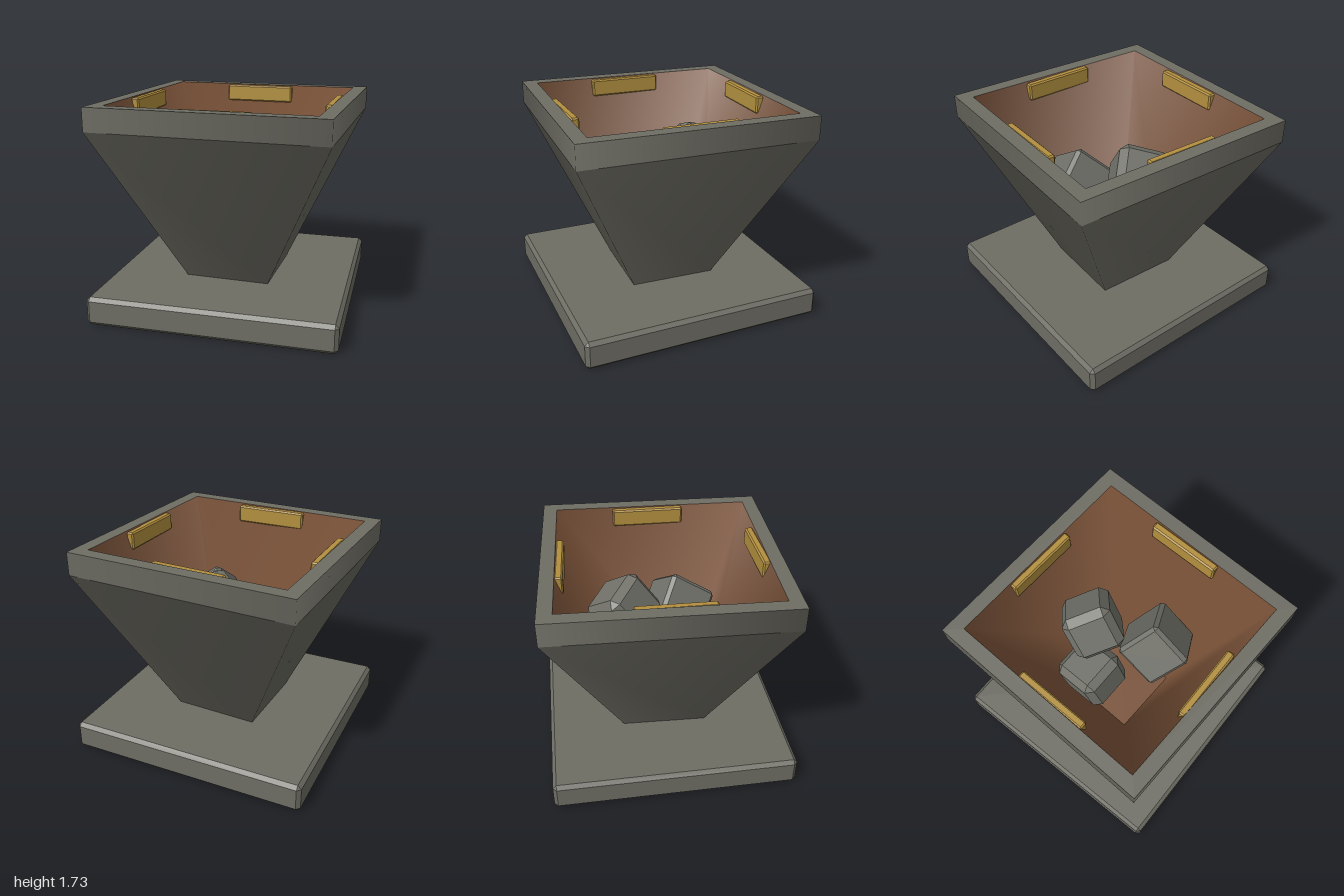
import * as THREE from 'three';
import { ConvexGeometry } from 'three/addons/geometries/ConvexGeometry.js';

const TURN = 0.743; // angle of the first hopper corner, a little off the diagonal

const colour = (name, hex) => {
  const m = new THREE.MeshStandardMaterial({ color: hex });
  m.name = name;
  return m;
};

// Box with flat chamfered edges and corners
function chamferBox(w, h, d, c) {
  const pts = [];
  for (const x of [-1, 1]) for (const y of [-1, 1]) for (const z of [-1, 1]) {
    for (let full = 0; full < 3; full++) {
      pts.push(new THREE.Vector3(
        x * (w / 2 - (full === 0 ? 0 : c)),
        y * (h / 2 - (full === 1 ? 0 : c)),
        z * (d / 2 - (full === 2 ? 0 : c))));
    }
  }
  return new ConvexGeometry(pts);
}

// Four-sided surface swept from one profile point to the next
function fourSided(r1, y1, r2, y2) {
  return new THREE.LatheGeometry(
    [new THREE.Vector2(r1, y1), new THREE.Vector2(r2, y2)], 4, TURN);
}

export function createModel() {
  const model = new THREE.Group();
  const metal = colour('grey metal', 0x6e6d64);
  const stone = colour('grey stone', 0x71716a);
  const rust = colour('brown lining', 0x7a5238);
  const brass = colour('brass', 0xb3903f);

  const add = (name, geometry, material, parent = model) => {
    const mesh = new THREE.Mesh(geometry, material);
    mesh.name = name;
    parent.add(mesh);
    return mesh;
  };

  // Base slab
  add('base', chamferBox(2, 0.235, 2, 0.03), metal).position.y = 0.1175;

  // Hopper shell: sloped wall, upright rim, flat top and inner lining
  const hopper = new THREE.Group();
  hopper.name = 'hopper';
  model.add(hopper);
  add('outerWall', fourSided(0.495, 0.23, 1.33, 1.54), metal, hopper);
  add('rim', fourSided(1.33, 1.54, 1.33, 1.73), metal, hopper);
  add('rimTop', fourSided(1.33, 1.73, 1.168, 1.73), metal, hopper);
  add('innerWall', fourSided(1.168, 1.73, 0.43, 0.25), rust, hopper);
  add('hopperFloor', fourSided(0.43, 0.25, 0, 0.25), rust, hopper);

  // Brass plates set into the four inner walls: side angle and small twist
  const plates = [['front', 0, 0], ['left', 1, -0.025], ['back', 2, -0.05], ['right', 3, -0.025]];
  for (const [side, quarter, twist] of plates) {
    const holder = new THREE.Group();
    holder.name = side + 'Plate';
    holder.rotation.y = quarter * Math.PI / 2;
    model.add(holder);
    const plate = add(side + 'PlateBar', chamferBox(0.61, 0.145, 0.065, 0.012), brass, holder);
    plate.position.set(0, 1.652, 0.795);
    plate.rotation.y = twist;
  }

  // Tumbled rocks: size, chamfer, centre, and two of the three box axes
  const rocks = [
    ['upperRock', 0.42, 0.06, [0, 1.21, -0.3], [-0.78, -0.29, -0.56], [0.65, -0.53, -0.55]],
    ['frontRock', 0.43, 0.03, [0.26, 1.01, 0.18], [-0.64, -0.64, -0.41], [0.765, -0.54, -0.35]],
    ['lowerRock', 0.42, 0.06, [-0.23, 0.82, -0.13], [0.99, 0.1, 0.04], [-0.09, 0.97, -0.2]],
  ];
  for (const [name, size, chamfer, centre, a, b] of rocks) {
    const u = new THREE.Vector3(...a).normalize();
    const w = u.clone().cross(new THREE.Vector3(...b)).normalize();
    const v = w.clone().cross(u);
    const rock = add(name, chamferBox(size, size, size, chamfer), stone);
    rock.quaternion.setFromRotationMatrix(new THREE.Matrix4().makeBasis(u, v, w));
    rock.position.set(...centre);
  }

  return model;
}
